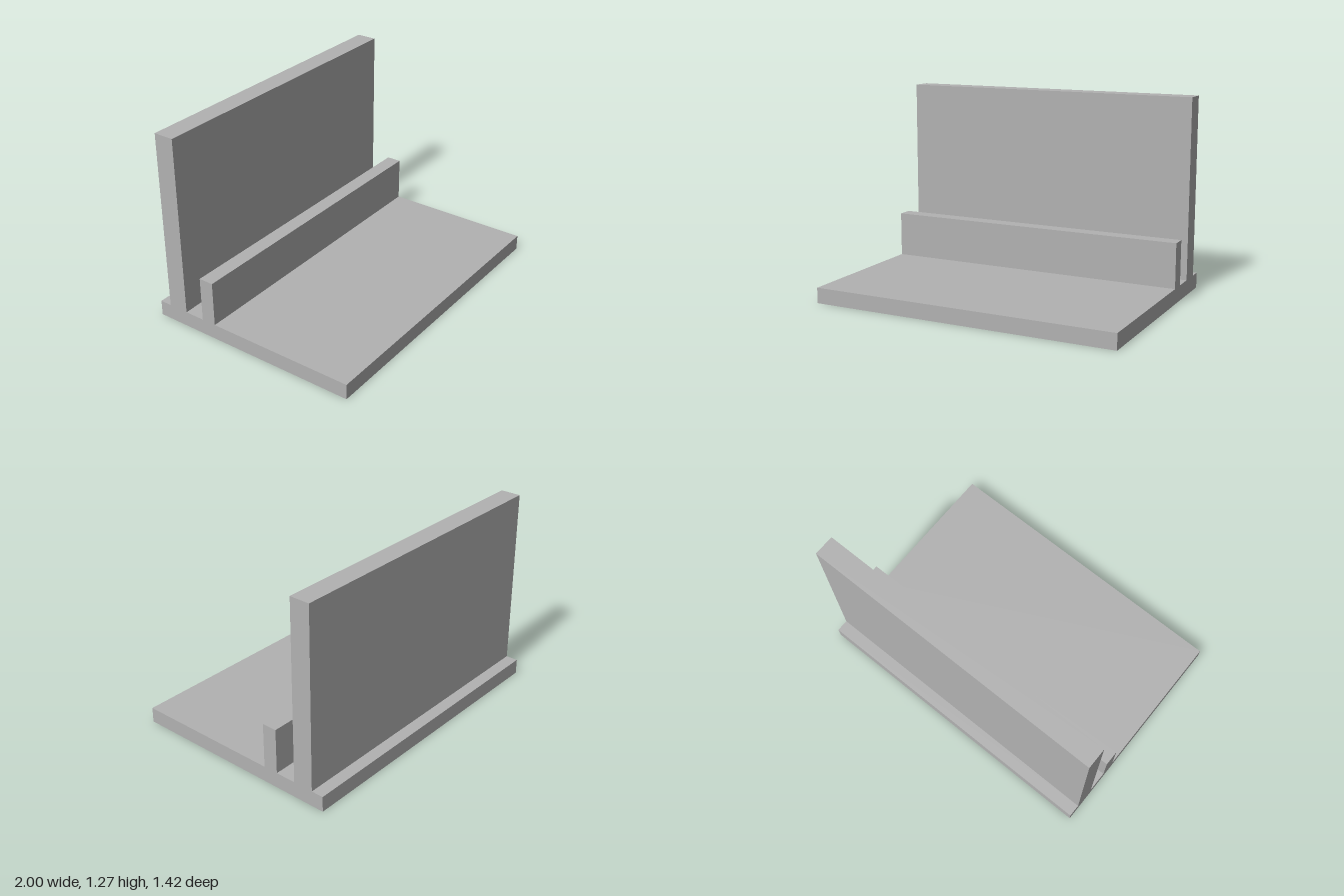
import * as THREE from 'three';

const WIDTH = 2;

export function createModel() {
  const group = new THREE.Group();
  group.name = 'stand';

  const grey = new THREE.MeshStandardMaterial({ color: 0xb2b2b2 });
  grey.name = 'plain grey';

  // Side profile as [distance towards the back, height]:
  // base plate, low retaining lip and tall back wall in one piece
  const profile = [
    [-0.71, 0], [0.71, 0], [0.71, 0.1],
    [0.63, 0.1], [0.63, 1.27], [0.497, 1.27], [0.497, 0.1],
    [0.363, 0.1], [0.363, 0.392], [0.266, 0.392], [0.266, 0.1],
    [-0.71, 0.1],
  ];
  const shape = new THREE.Shape(profile.map(([d, y]) => new THREE.Vector2(d, y)));

  // Extrude across the full width, then turn the profile to face sideways
  const geometry = new THREE.ExtrudeGeometry(shape, { depth: WIDTH, bevelEnabled: false });
  geometry.translate(0, 0, -WIDTH / 2);
  geometry.rotateY(Math.PI / 2);

  const body = new THREE.Mesh(geometry, grey);
  body.name = 'baseWithLipAndBackWall';
  group.add(body);
  return group;
}
